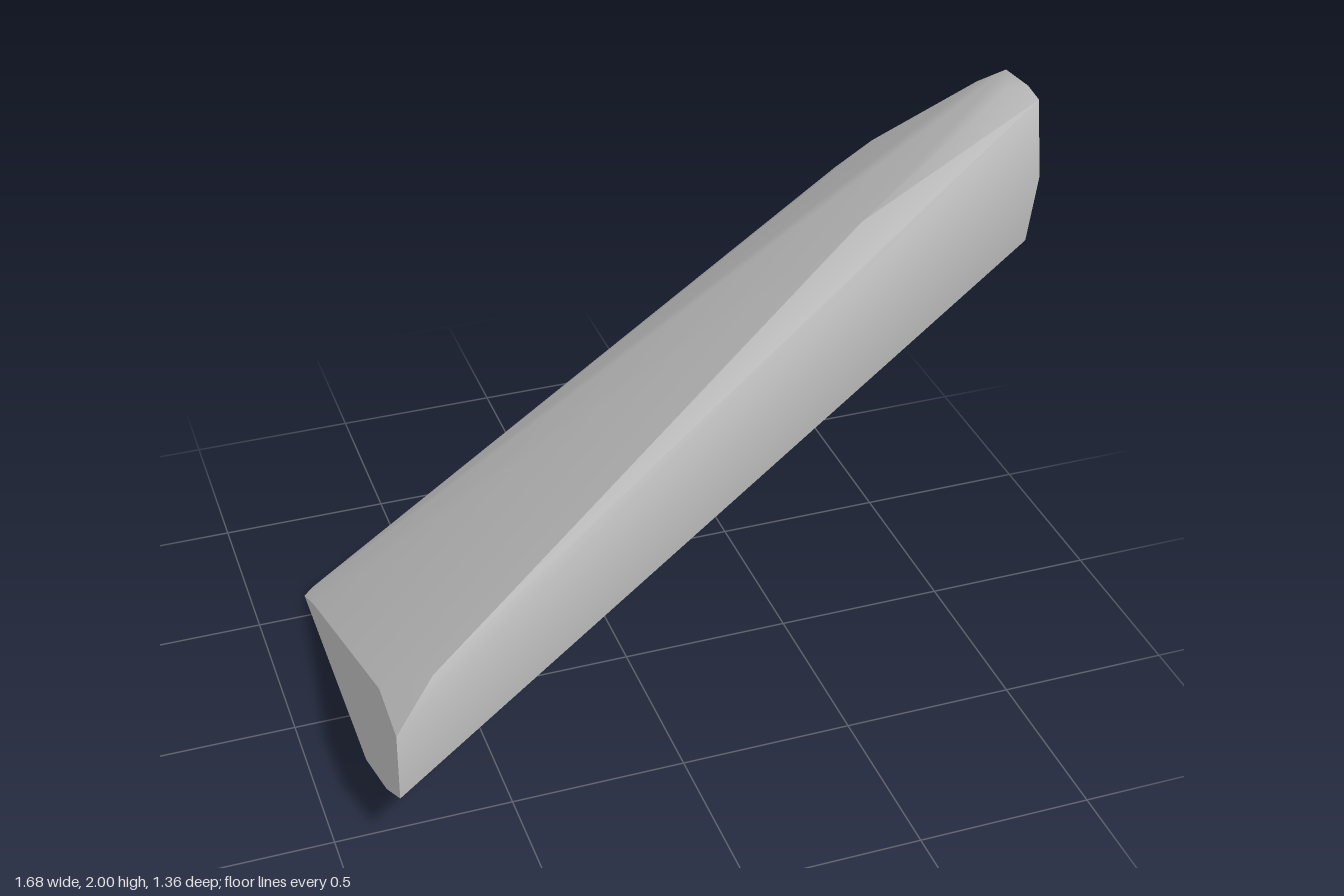
import * as THREE from 'three';
import { ConvexGeometry } from 'three/addons/geometries/ConvexGeometry.js';
import { toCreasedNormals } from 'three/addons/utils/BufferGeometryUtils.js';

export function createModel() {
  const group = new THREE.Group();
  group.name = 'stoneShard';

  const stone = new THREE.MeshStandardMaterial({ color: 0xc0c0c0 });
  stone.name = 'stone grey';

  // flat high end, as [z, y] at x = 0.84
  const highEnd = [
    [0.64, 1.99], [0.58, 2], [0.46, 1.99], [0.31, 1.89], [-0.3, 1.43], [-0.55, 1.22],
    [-0.56, 1.19], [-0.44, 1.1], [-0.41, 1.1], [-0.23, 1.14], [0.64, 1.6], [0.68, 1.8],
  ];
  // flat low end, as [z, y] at x = -0.84
  const lowEnd = [
    [-0.6, 0], [-0.44, 0.08], [0.45, 0.45], [0.63, 0.43], [0.63, 0.22], [0.46, 0.11], [0.2, 0],
  ];
  // corners of the base, as [x, z] at y = 0
  const base = [[-0.8, -0.64], [-0.59, -0.675], [-0.16, -0.6], [-0.17, -0.52]];
  // worn corners along the upper front ridge
  const ridge = [[-0.73, 0.59, 0.61], [0.42, 1.69, 0.57], [0.8, 1.98, 0.54]];

  const points = [
    ...highEnd.map(([z, y]) => new THREE.Vector3(0.84, y, z)),
    ...lowEnd.map(([z, y]) => new THREE.Vector3(-0.84, y, z)),
    ...base.map(([x, z]) => new THREE.Vector3(x, 0, z)),
    ...ridge.map((p) => new THREE.Vector3(...p)),
  ];

  // one convex stone, smooth across its worn edges and sharp at its breaks
  const geometry = toCreasedNormals(new ConvexGeometry(points), THREE.MathUtils.degToRad(35));
  const shard = new THREE.Mesh(geometry, stone);
  shard.name = 'shard';
  group.add(shard);
  return group;
}
